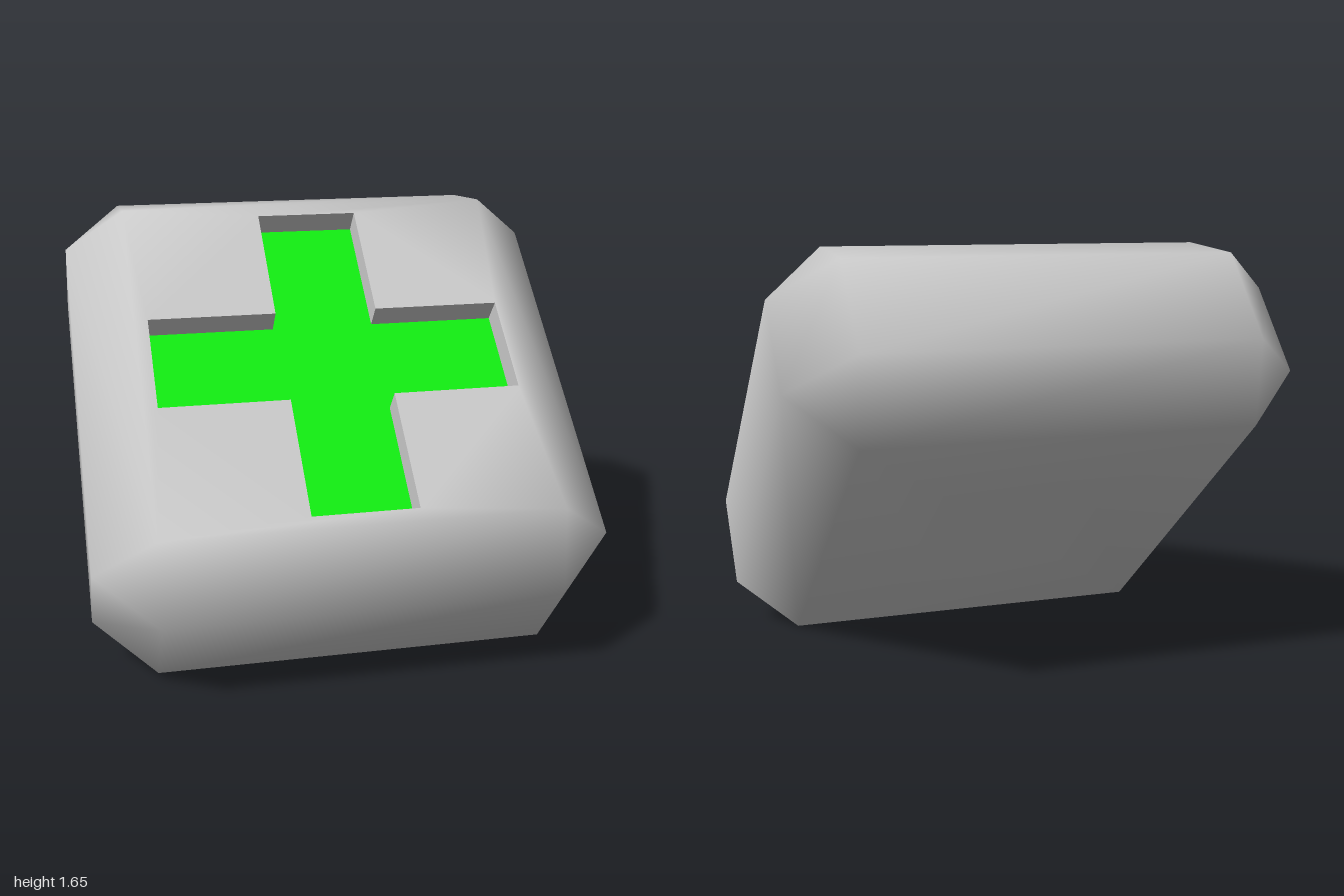
import * as THREE from 'three';
import { mergeGeometries, mergeVertices } from 'three/addons/utils/BufferGeometryUtils.js';

const FACE = 0.765;    // half size of the flat faces
const HALF = 1;        // half width of the body
const THICK = 0.435;   // half thickness
const RIM = 0.2;       // half height of the side walls
const DEPTH = 0.106;   // depth of the cross recess

// Octagon ring, counter-clockwise; a === c gives a square
const ring = (a, c, z) =>
  [[a, -c], [a, c], [c, a], [-c, a], [-a, c], [-a, -c], [-c, -a], [c, -a]].map(([x, y]) => [x, y, z]);

// Plus-shaped outline, counter-clockwise
function crossPoints(l, w) {
  return [[l, -w], [l, w], [w, w], [w, l], [-w, l], [-w, w], [-l, w], [-l, -w],
    [-w, -w], [-w, -l], [w, -l], [w, -w]].map(([x, y]) => new THREE.Vector2(x, y));
}

function bodyGeometry(cross) {
  // Bevelled shell from the back face up to the front rim
  const rings = [
    ring(0.27, 0.27, -THICK), ring(FACE, FACE, -THICK),
    ring(HALF, FACE, -RIM), ring(HALF, FACE, RIM), ring(FACE, FACE, THICK),
  ];
  const index = [];
  const same = (p, q) => p.every((v, k) => v === q[k]);
  for (let r = 0; r < rings.length - 1; r++) {
    for (let i = 0; i < 8; i++) {
      const j = (i + 1) % 8, lo = r * 8, up = lo + 8;
      if (!same(rings[r][i], rings[r][j])) index.push(lo + i, lo + j, up + j);
      if (!same(rings[r + 1][i], rings[r + 1][j])) index.push(lo + i, up + j, up + i);
    }
  }
  index.push(0, 4, 2, 0, 6, 4); // middle of the back face
  const shell = new THREE.BufferGeometry();
  shell.setAttribute('position', new THREE.Float32BufferAttribute(rings.flat(2), 3));
  shell.setIndex(index);

  // Front face with the cross cut out
  const square = new THREE.Shape([[-1, -1], [1, -1], [1, 1], [-1, 1]]
    .map(([x, y]) => new THREE.Vector2(x * FACE, y * FACE)));
  square.holes.push(new THREE.Path(cross));
  const front = new THREE.ShapeGeometry(square).translate(0, 0, THICK);
  front.deleteAttribute('normal');
  front.deleteAttribute('uv');

  // Weld so the bevels shade smoothly
  const body = mergeVertices(mergeGeometries([shell, front]), 1e-4);
  body.computeVertexNormals();
  return body;
}

// Inward-facing walls of the recess
function wallGeometry(cross) {
  const pos = [], top = THICK, low = THICK - DEPTH;
  cross.forEach((p, i) => {
    const q = cross[(i + 1) % cross.length];
    pos.push(p.x, p.y, top, q.x, q.y, top, q.x, q.y, low);
    pos.push(p.x, p.y, top, q.x, q.y, low, p.x, p.y, low);
  });
  const walls = new THREE.BufferGeometry();
  walls.setAttribute('position', new THREE.Float32BufferAttribute(pos, 3));
  walls.computeVertexNormals();
  return walls;
}

export function createModel() {
  const grey = new THREE.MeshStandardMaterial({ color: 0xcccccc });
  const green = new THREE.MeshStandardMaterial({ color: 0x12f012 });
  const cross = crossPoints(0.712, 0.205);

  const add = (parent, name, geometry, material) => {
    const mesh = new THREE.Mesh(geometry, material);
    mesh.name = name;
    parent.add(mesh);
    return mesh;
  };

  const pack = new THREE.Group();
  pack.name = 'healthPack';
  add(pack, 'body', bodyGeometry(cross), grey);
  add(pack, 'crossWalls', wallGeometry(cross), grey);
  add(pack, 'crossFloor', new THREE.ShapeGeometry(new THREE.Shape(cross)), green)
    .position.z = THICK - DEPTH;

  // Lean back so the cross faces up and forward
  pack.rotation.x = THREE.MathUtils.degToRad(-50);
  pack.position.y = 0.825;

  const model = new THREE.Group();
  model.name = 'model';
  model.add(pack);
  return model;
}
